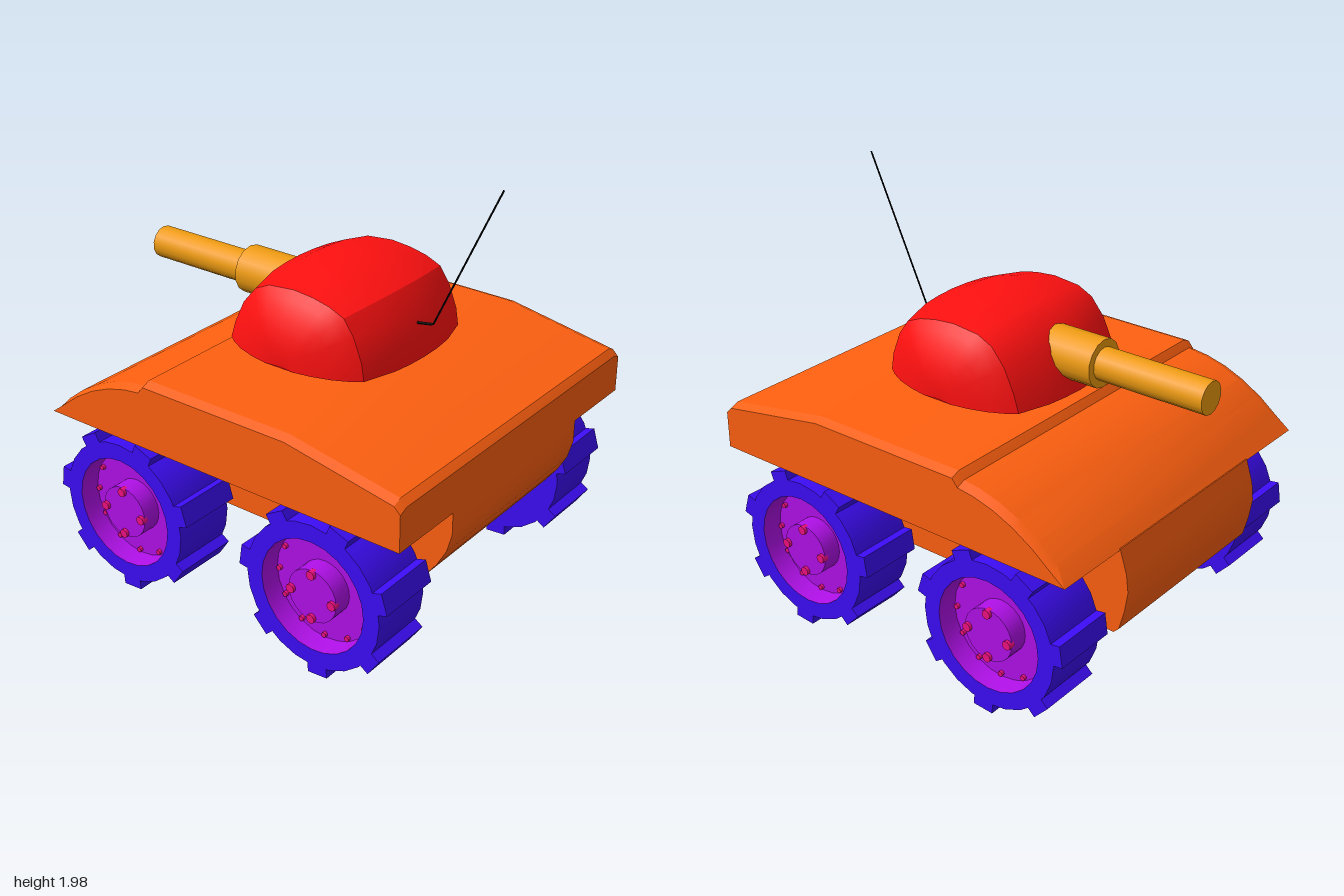
import * as THREE from 'three';
import { toCreasedNormals } from 'three/addons/utils/BufferGeometryUtils.js';

const paint = (color) => new THREE.MeshStandardMaterial({ color });
const orange = paint(0xff6010), red = paint(0xff1010), amber = paint(0xf09c10);
const blue = paint(0x3c0cf5), purple = paint(0xb010e8), pink = paint(0xf01080), black = paint(0x000000);

function add(parent, name, geometry, material) {
  const mesh = new THREE.Mesh(geometry, material);
  mesh.name = name;
  parent.add(mesh);
  return mesh;
}

// Side profile of [z, y] points, extruded across x and centred
function sideExtrude(points, width, steps = 1) {
  const shape = new THREE.Shape(points.map(([z, y]) => new THREE.Vector2(z, y)));
  const geo = new THREE.ExtrudeGeometry(shape, { depth: width, steps, bevelEnabled: false });
  return geo.translate(0, 0, -width / 2).rotateY(-Math.PI / 2);
}

// Lathe profile of [radius, x] points, turned about the x axis
function axle(points, sides) {
  const geo = new THREE.LatheGeometry(points.map(([r, x]) => new THREE.Vector2(r, x)), sides);
  return toCreasedNormals(geo.rotateZ(-Math.PI / 2), 0.5);
}

// Upper hull: extruded in three strips, the outer edges lowered to a chamfer
function upperHull() {
  const geo = sideExtrude([
    [1, 0.775], [1, 0.965], [0.97, 0.995], [0.43, 1.09], [-0.34, 1.09], [-0.368, 1.056],
    [-0.45, 1.045], [-0.55, 1.018], [-0.65, 0.975], [-0.75, 0.915], [-0.84, 0.845], [-0.91, 0.775],
  ], 1.725, 3);
  const p = geo.attributes.position;
  for (let i = 0; i < p.count; i++) {
    const x = p.getX(i), y = p.getY(i);
    if (Math.abs(x) < 0.5) p.setX(i, Math.sign(x) * 0.82);
    else if (y > 0.79) p.setY(i, y - 0.018);
  }
  return toCreasedNormals(geo, 0.35);
}

// Turret dome: one arch repeated across x, shrinking towards the bulging sides
function turretDome() {
  const arch = [
    [0.515, 1.14], [0.5, 1.23], [0.45, 1.35], [0.39, 1.43], [0.3, 1.465], [0.2, 1.485], [0.08, 1.495],
    [-0.08, 1.48], [-0.17, 1.44], [-0.25, 1.35], [-0.31, 1.23], [-0.34, 1.14],
  ];
  // x, z scale, y scale
  const half = [
    [0, 1, 1], [0.1, 0.99, 0.993], [0.2, 0.96, 0.975], [0.355, 0.85, 0.9], [0.39, 0.74, 0.8],
    [0.425, 0.58, 0.63], [0.452, 0.38, 0.43], [0.468, 0.18, 0.22], [0.458, 0, 0],
  ];
  const stations = [...half.slice(1).reverse().map(([x, a, b]) => [-x, a, b]), ...half];
  const pos = [], index = [], n = arch.length;
  stations.forEach(([x, sz, sy], i) => {
    for (const [z, y] of arch) pos.push(x, 1.14 + (y - 1.14) * sy, 0.083 + (z - 0.083) * sz);
    if (i === stations.length - 1) return;
    for (let j = 0; j < n; j++) {
      const k = (j + 1) % n, a = i * n + j, d = i * n + k;
      index.push(a, a + n, d + n, a, d + n, d);
    }
  });
  const geo = new THREE.BufferGeometry();
  geo.setAttribute('position', new THREE.Float32BufferAttribute(pos, 3));
  geo.setIndex(index);
  return toCreasedNormals(geo, 0.5);
}

// Wheel with its outer face towards +x; side = -1 turns it to the other flank
function wheel(side, z) {
  const g = new THREE.Group();
  g.name = 'wheel';
  add(g, 'tyre', axle([[0, 0.545], [0.345, 0.545], [0.345, 0.855], [0.265, 0.855]], 24), blue);
  add(g, 'rim', axle([[0.265, 0.855], [0.258, 0.76], [0.125, 0.76], [0.125, 0.85], [0, 0.85]], 24), purple);

  // Seven tread lugs
  for (let i = 0; i < 7; i++) {
    const a = THREE.MathUtils.degToRad(8.5 + i * 360 / 7);
    const lug = add(g, 'treadLug', new THREE.BoxGeometry(0.31, 0.07, 0.1), blue);
    lug.position.set(0.7, Math.sin(a) * 0.35, -side * Math.cos(a) * 0.35);
    lug.rotation.x = Math.atan2(-side * Math.cos(a), Math.sin(a));
  }

  // Bolt circles on the rim floor and on the hub
  const bolts = (count, circle, radius, x) => {
    for (let i = 0; i < count; i++) {
      const a = i * 2 * Math.PI / count;
      const geo = new THREE.CylinderGeometry(radius, radius, 0.03, 10).rotateZ(-Math.PI / 2);
      add(g, 'bolt', geo, pink).position.set(x, Math.sin(a) * circle, Math.cos(a) * circle);
    }
  };
  bolts(12, 0.24, 0.012, 0.76);
  bolts(4, 0.107, 0.021, 0.85);

  g.position.set(0, 0.385, z);
  if (side < 0) g.rotation.y = Math.PI;
  return g;
}

// Straight rod between two points
function rod(a, b, radius) {
  return new THREE.TubeGeometry(new THREE.LineCurve3(a, b), 1, radius, 6);
}

export function createModel() {
  const model = new THREE.Group();
  model.name = 'armouredVehicle';

  // Hull
  add(model, 'upperHull', upperHull(), orange);
  add(model, 'lowerHull', toCreasedNormals(sideExtrude([
    [1, 0.78], [1, 0.67], [0.975, 0.58], [0.93, 0.5], [0.87, 0.42], [0.82, 0.37], [-0.89, 0.37],
    [-0.915, 0.395], [-0.94, 0.49], [-0.955, 0.585], [-0.945, 0.67], [-0.91, 0.78],
  ], 0.98), 0.5), orange);

  // Wheels
  for (const side of [1, -1]) for (const z of [0.56, -0.51]) model.add(wheel(side, z));

  // Turret
  const turret = new THREE.Group();
  turret.name = 'turret';
  model.add(turret);
  const neck = add(turret, 'turretNeck', new THREE.CylinderGeometry(1, 1, 0.08, 24), red);
  neck.scale.set(0.195, 1, 0.253);
  neck.position.set(0, 1.115, 0.083);
  add(turret, 'turretDome', turretDome(), red);

  // Gun, pointing towards -z
  const barrel = (name, radius, z0, z1, sides) => {
    const geo = new THREE.CylinderGeometry(radius, radius, z0 - z1, sides).rotateX(Math.PI / 2);
    add(turret, name, geo, amber).position.set(0, 1.3, (z0 + z1) / 2);
  };
  barrel('gunSleeve', 0.112, -0.18, -0.46, 14);
  barrel('gunBarrel', 0.076, -0.4, -1, 14);

  // Antenna
  const antenna = [[1.29, 0.47], [1.305, 0.555], [1.98, 0.87]].map(([y, z]) => new THREE.Vector3(-0.004, y, z));
  add(turret, 'antennaMount', rod(antenna[0], antenna[1], 0.006), black);
  add(turret, 'antennaRod', rod(antenna[1], antenna[2], 0.004), black);
  return model;
}
